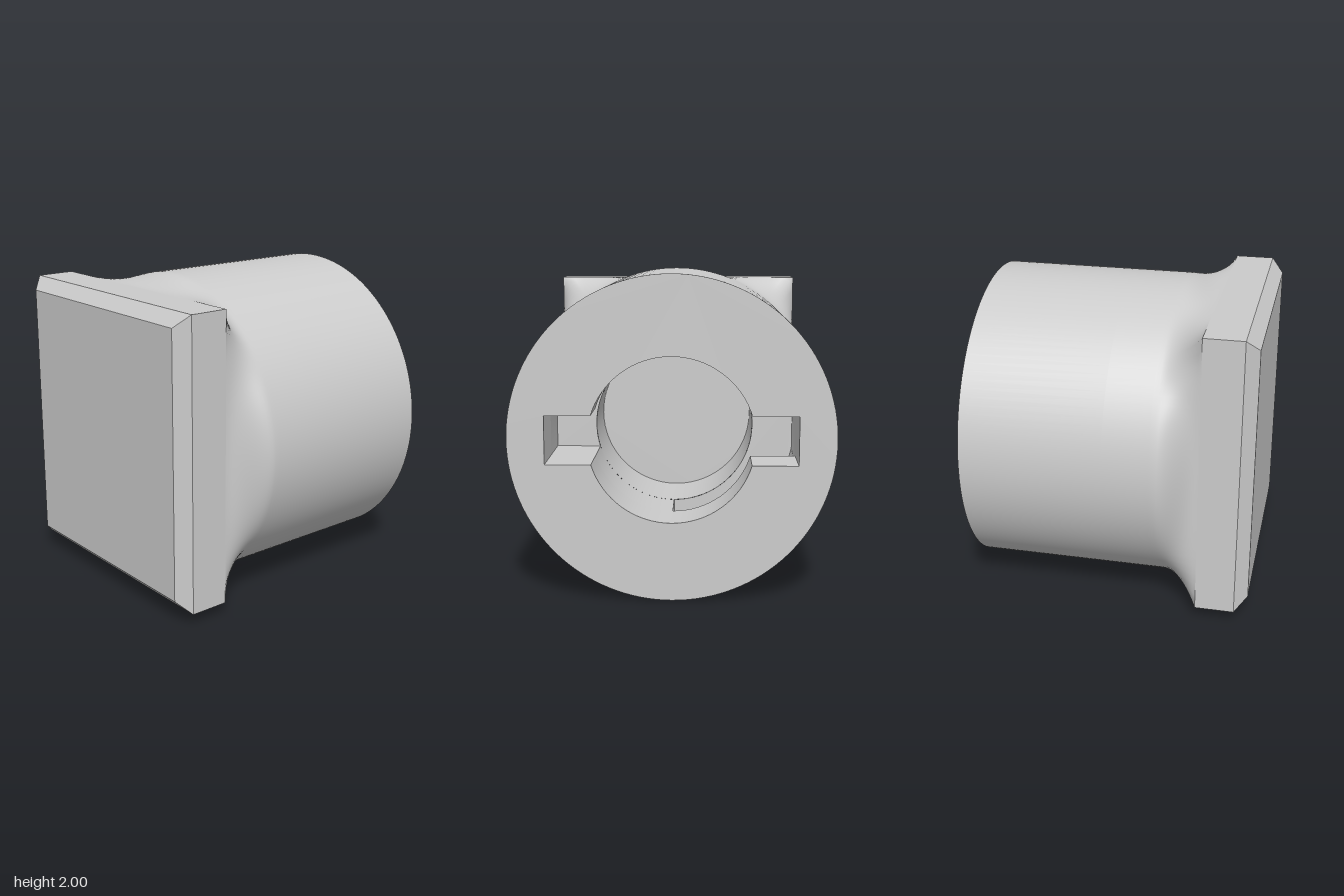
import * as THREE from 'three';
import { toCreasedNormals } from 'three/addons/utils/BufferGeometryUtils.js';

const HALF_W = 0.83, HALF_H = 0.925, BEVEL = 0.08;      // front plate
const BACK = -0.9, NECK = 0.32, PLATE = 0.57, FRONT = 0.9;
const BORE = 0.51, SLOT_X = 0.77, SLOT_Y = 0.15;        // socket
const SLOT_END = -0.3, LEDGE = -0.6, BORE_END = 0.17;

const solid = new THREE.MeshStandardMaterial({ color: 0xcccccc });
const open = new THREE.MeshStandardMaterial({ color: 0xcccccc, side: THREE.DoubleSide });

function add(group, name, geometry, material) {
  const mesh = new THREE.Mesh(geometry, material);
  mesh.name = name;
  group.add(mesh);
  return mesh;
}

// Joins closed rings of equal length into a skin
function skin(rings) {
  const n = rings[0].length, index = [];
  for (let i = 0; i < rings.length - 1; i++) {
    for (let j = 0; j < n; j++) {
      const a = i * n + j, b = i * n + (j + 1) % n;
      index.push(a, b, a + n, b, b + n, a + n);
    }
  }
  const g = new THREE.BufferGeometry().setFromPoints(rings.flat());
  g.setIndex(index);
  g.computeVertexNormals();
  return g;
}

const ringAt = (outline, z) => outline.map(p => new THREE.Vector3(p.x, p.y, z));
const walls = (outline, z0, z1) =>
  toCreasedNormals(skin([ringAt(outline, z0), ringAt(outline, z1)]), 0.5);

function arc(r, from, to, n = 32) {
  return Array.from({ length: n + 1 }, (_, i) => {
    const a = from + (to - from) * i / n;
    return new THREE.Vector2(r * Math.cos(a), r * Math.sin(a));
  });
}

// Adds the half-turn copy of half an outline
const twice = half => [...half, ...half.map(p => p.clone().negate())];

function flat(points, z) {
  return new THREE.ShapeGeometry(new THREE.Shape(points)).translate(0, 0, z);
}

// Evenly spread directions that include the four plate corners
function directions(perSide) {
  const c = Math.atan2(HALF_H, HALF_W);
  const corners = [-c, c, Math.PI - c, Math.PI + c, 2 * Math.PI - c];
  const list = [];
  for (let k = 0; k < 4; k++) {
    for (let i = 0; i < perSide; i++) {
      list.push(corners[k] + (corners[k + 1] - corners[k]) * i / perSide);
    }
  }
  return list;
}

// Round barrel that flows into the rectangular plate
function barrel() {
  const angles = directions(32);
  const ring = (z, t) => angles.map(a => {
    const c = Math.cos(a), s = Math.sin(a);
    const edge = Math.min(HALF_W / Math.abs(c), HALF_H / Math.abs(s));
    const corner = THREE.MathUtils.clamp((edge - 1) / 0.24, 0, 1);
    const w = THREE.MathUtils.lerp(t * t * (3 - 2 * t), t * t, corner);
    const r = 1 + (edge - 1) * w;
    return new THREE.Vector3(r * c, r * s, z);
  });
  const rings = [ring(BACK, 0), ring(0, 0), ring(NECK - 0.03, 0)];
  for (let i = 0; i <= 12; i++) {
    rings.push(ring(NECK + (PLATE - NECK) * i / 12, i / 12));
  }
  return skin(rings);
}

// Plate with a chamfered front rim; its back is closed by the barrel
function plate() {
  let g = new THREE.BoxGeometry(2 * HALF_W, 2 * HALF_H, 2, 1, 1, 2);
  g.setIndex(Array.from(g.index.array).slice(0, -6));
  const p = g.attributes.position;
  for (let i = 0; i < p.count; i++) {
    const z = p.getZ(i);
    if (z > 0.5) {
      p.setX(i, p.getX(i) - Math.sign(p.getX(i)) * BEVEL);
      p.setY(i, p.getY(i) - Math.sign(p.getY(i)) * BEVEL);
    }
    p.setZ(i, z > 0.5 ? FRONT : z > -0.5 ? FRONT - BEVEL : PLATE);
  }
  g = g.toNonIndexed();
  g.computeVertexNormals();
  return g;
}

// Bore with two entry slots, each leading to a quarter-turn locking channel
function socket() {
  const group = new THREE.Group();
  group.name = 'socket';
  const a0 = Math.asin(SLOT_Y / BORE), quarter = Math.PI / 2;
  const outer = Math.hypot(SLOT_X, SLOT_Y), a1 = Math.atan2(SLOT_Y, SLOT_X);
  const low = new THREE.Vector2(SLOT_X, -SLOT_Y);
  const high = new THREE.Vector2(SLOT_X, SLOT_Y);
  const channelArc = arc(outer, a1, quarter);

  const entry = twice([low, high, ...arc(BORE, a0, Math.PI - a0)]);
  const channel = twice([low, ...channelArc, ...arc(BORE, quarter, Math.PI - a0)]);
  const round = arc(BORE, 0, 2 * Math.PI, 64).slice(0, -1);

  const rear = new THREE.Shape(arc(1, 0, 2 * Math.PI, 128).slice(0, -1));
  rear.holes.push(new THREE.Path(entry));
  add(group, 'rearFace', new THREE.ShapeGeometry(rear).translate(0, 0, BACK), open);
  add(group, 'entryWalls', walls(entry, BACK, LEDGE), open);
  add(group, 'channelWalls', walls(channel, LEDGE, SLOT_END), open);
  add(group, 'boreWall', walls(round, SLOT_END, BORE_END), open);
  add(group, 'boreFloor', flat(round, BORE_END), open);

  const ledge = flat([...channelArc, ...arc(BORE, quarter, a0)], LEDGE);
  const stop = flat([low, ...channelArc, ...arc(BORE, quarter, -a0)], SLOT_END);
  for (const turn of [0, Math.PI]) {
    add(group, 'lockingLedge', ledge, open).rotation.z = turn;
    add(group, 'channelEnd', stop, open).rotation.z = turn;
  }
  return group;
}

export function createModel() {
  const model = new THREE.Group();
  model.name = 'buttonCap';
  const cap = new THREE.Group();
  cap.name = 'cap';
  cap.position.y = 1;
  add(cap, 'barrel', barrel(), solid);
  add(cap, 'frontPlate', plate(), solid);
  cap.add(socket());
  model.add(cap);
  return model;
}
